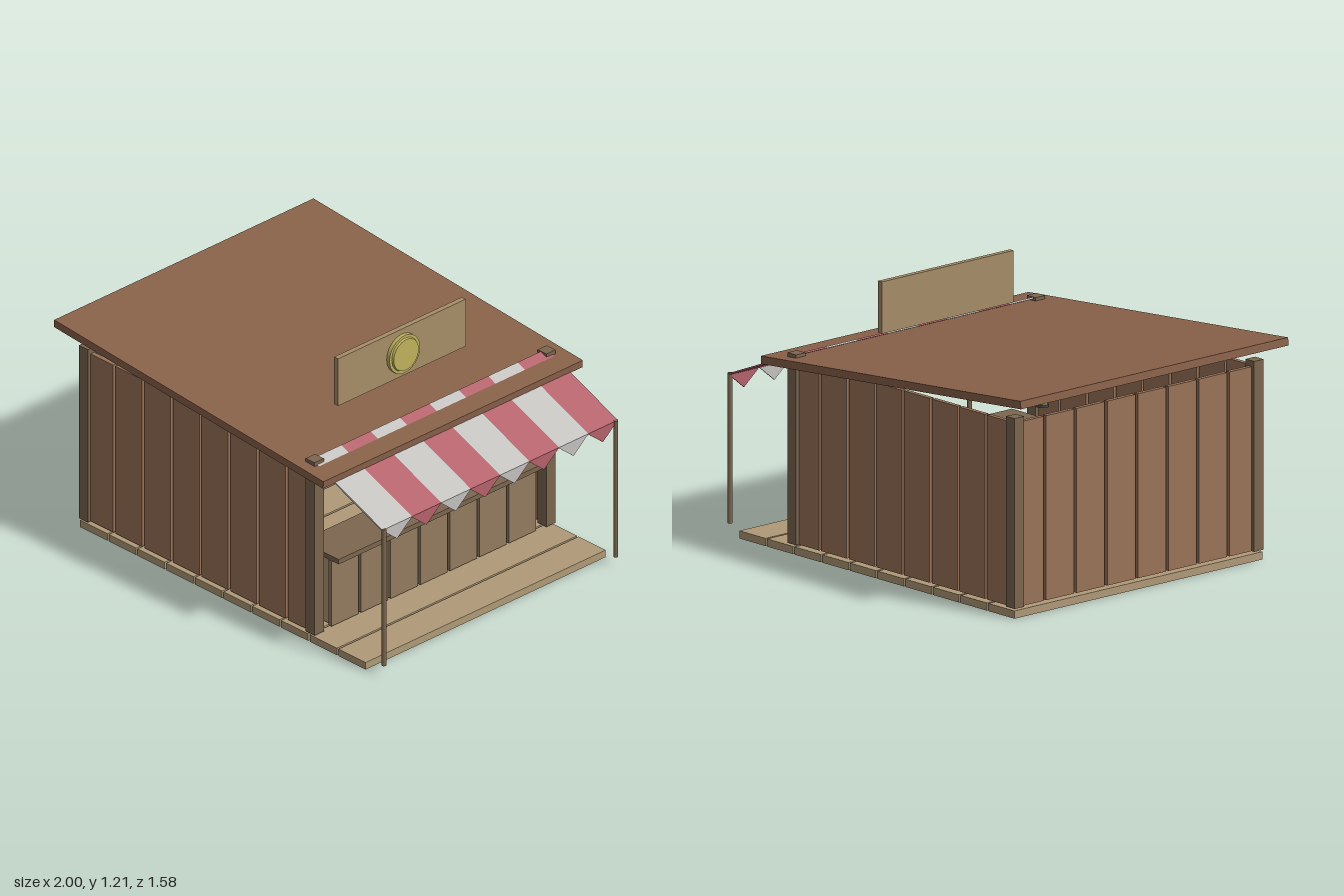
import * as THREE from 'three';

const WALL = 0x9a7358, ROOF = 0x8a624a, POST = 0x7c6650, FLOOR = 0xb09a78, COUNTER = 0x937c60;
const RED = 0xb5626a, CLOTH = 0xc4c2bf, GOLD = 0xc0b25e, IRON = 0x4a4c52, SACK = 0xa08d6c;
const PITCH = 0.18, GROUND = 0.045;

const mats = {};
const mat = (color) => (mats[color] ??= new THREE.MeshStandardMaterial({ color, side: THREE.DoubleSide }));

export function createModel() {
  const root = new THREE.Group();
  root.name = 'marketStall';

  const add = (name, geo, color, x = 0, y = 0, z = 0, parent = root) => {
    const m = new THREE.Mesh(geo, mat(color));
    m.name = name;
    m.position.set(x, y, z);
    parent.add(m);
    return m;
  };
  // Box given by its limits on each axis
  const box = (name, color, [x0, x1], [y0, y1], [z0, z1], parent = root) =>
    add(name, new THREE.BoxGeometry(x1 - x0, y1 - y0, z1 - z0), color,
      (x0 + x1) / 2, (y0 + y1) / 2, (z0 + z1) / 2, parent);
  const group = (name, x = 0, y = 0, z = 0) => {
    const g = new THREE.Group();
    g.name = name;
    g.position.set(x, y, z);
    root.add(g);
    return g;
  };
  const lathe = (points, segments = 24) =>
    new THREE.LatheGeometry(points.map(([r, y]) => new THREE.Vector2(r, y)), segments);
  // Calls fn(from, to) for a row of planks of even pitch with narrow gaps
  const row = (count, centre, fn, width = 0.165) => {
    for (let i = 0; i < count; i++) {
      const c = centre + (i - (count - 1) / 2) * PITCH;
      fn([c - width / 2, c + width / 2]);
    }
  };

  // Floor
  const floor = group('floor');
  row(10, 0, (x) => box('floorPlank', FLOOR, x, [0, 0.035], [-0.73, 0.73], floor), 0.17);

  // Walls: two sides and the back
  const walls = group('walls');
  for (const s of [-1, 1])
    row(8, -0.155, (x) => box('sidePlank', WALL, x, [GROUND, 0.88], [s * 0.705 - 0.011, s * 0.705 + 0.011], walls));
  row(8, 0, (z) => box('backPlank', WALL, [-0.883, -0.861], [GROUND, 0.88], z, walls));

  // Corner posts and thin awning poles
  for (const s of [-1, 1]) {
    for (const x of [-0.872, 0.55])
      box('cornerPost', POST, [x - 0.028, x + 0.028], [GROUND, 0.907], [s * 0.705 - 0.028, s * 0.705 + 0.028]);
    add('awningPole', new THREE.CylinderGeometry(0.011, 0.011, 0.68, 12), POST, 0.984, 0.388, s * 0.705);
  }

  // Sloping roof
  const roof = add('roof', new THREE.BoxGeometry(1.695, 0.036, 1.576), ROOF, -0.155, 0.929, 0);
  roof.rotation.z = -0.081;

  // Striped awning with a pointed valance
  const awning = group('awning');
  const top = [0.54, 0.902], edge = [0.985, 0.722], stripe = 1.43 / 8;
  const run = edge[0] - top[0], drop = top[1] - edge[1];
  const point = new THREE.Shape([[-stripe / 2, 0], [0, -0.073], [stripe / 2, 0]].map((p) => new THREE.Vector2(...p)));
  const pointGeo = new THREE.ExtrudeGeometry(point, { depth: 0.006, bevelEnabled: false });
  for (let i = 0; i < 8; i++) {
    const z = -0.715 + (i + 0.5) * stripe, color = i % 2 ? CLOTH : RED;
    const cloth = add('awningStripe', new THREE.BoxGeometry(Math.hypot(run, drop), 0.008, stripe), color,
      (top[0] + edge[0]) / 2, (top[1] + edge[1]) / 2, z, awning);
    cloth.rotation.z = -Math.atan2(drop, run);
    add('valancePoint', pointGeo, color, 0.979, edge[1], z, awning).rotation.y = Math.PI / 2;
  }

  // Sign board with a round disc
  box('signBoard', 0xa68d68, [0.345, 0.37], [0.975, 1.21], [-0.388, 0.388]);
  const disc = group('signDisc', 0.37, 1.092, 0);
  disc.rotation.z = -Math.PI / 2;
  add('discPlate', new THREE.CylinderGeometry(0.093, 0.093, 0.018, 32), GOLD, 0, 0.009, 0, disc);
  add('discFace', new THREE.CylinderGeometry(0.076, 0.08, 0.01, 32), GOLD, 0, 0.022, 0, disc);

  // Counter
  const counter = group('counter');
  box('counterTop', POST, [0.38, 0.615], [0.372, 0.396], [-0.622, 0.622], counter);
  box('counterBody', FLOOR, [0.4, 0.55], [GROUND, 0.372], [-0.61, 0.61], counter);
  row(7, 0, (z) => box('counterPlank', COUNTER, [0.55, 0.57], [GROUND, 0.372], z, counter));

  // Balance scale on the counter
  const scale = group('scale', 0.49, 0.396, -0.36);
  add('scaleStand', lathe([[0, 0], [0.034, 0], [0.034, 0.008], [0.02, 0.02], [0.011, 0.1], [0.007, 0.128], [0, 0.128]], 16), GOLD, 0, 0, 0, scale);
  box('scaleBeam', GOLD, [-0.004, 0.004], [0.119, 0.126], [-0.077, 0.077], scale);
  for (const s of [-1, 1]) {
    add('scaleHanger', new THREE.CylinderGeometry(0.002, 0.002, 0.052, 6), GOLD, 0, 0.096, s * 0.075, scale);
    add('scalePan', lathe([[0, 0.062], [0.018, 0.064], [0.03, 0.075], [0.027, 0.076], [0, 0.07]], 20), GOLD, 0, 0, s * 0.075, scale);
  }

  // Cup and book
  add('cup', lathe([[0, 0], [0.013, 0], [0.016, 0.025], [0.013, 0.025], [0.011, 0.005], [0, 0.005]], 16), GOLD, 0.455, 0.396, 0.24);
  box('book', 0x75485a, [0.42, 0.52], [0.396, 0.412], [0.022, 0.155]);

  // Barrel with hoops
  const barrel = group('barrel', -0.24, GROUND, -0.575);
  add('barrelBody', lathe([[0, 0], [0.08, 0], [0.093, 0.07], [0.098, 0.14], [0.093, 0.21], [0.08, 0.28], [0.072, 0.28], [0.07, 0.27], [0, 0.27]]), POST, 0, 0, 0, barrel);
  for (const [y, r] of [[0.03, 0.088], [0.09, 0.096], [0.19, 0.096], [0.25, 0.088]])
    add('barrelHoop', new THREE.CylinderGeometry(r, r, 0.016, 24, 1, true), IRON, 0, y, 0, barrel);

  // Sacks stacked behind the counter
  const sackGeo = lathe([[0, -0.005], [0.06, 0], [0.092, 0.05], [0.095, 0.12], [0.07, 0.2], [0.03, 0.235], [0.042, 0.27], [0, 0.265]], 18);
  for (const [x, z, h] of [[-0.66, 0.53, 1.17], [-0.505, 0.45, 1], [-0.36, 0.53, 1]])
    add('sack', sackGeo, SACK, x, GROUND, z).scale.y = h;

  // Hanging lantern
  const lantern = group('lantern', -0.27, 0.7, 0);
  add('lanternCord', new THREE.CylinderGeometry(0.004, 0.004, 0.11, 8), IRON, 0, 0.165, 0, lantern);
  add('lanternCap', new THREE.ConeGeometry(0.034, 0.03, 12), IRON, 0, 0.1, 0, lantern);
  add('lanternGlass', new THREE.CylinderGeometry(0.024, 0.024, 0.075, 12), GOLD, 0, 0.048, 0, lantern);
  add('lanternBase', new THREE.CylinderGeometry(0.03, 0.03, 0.012, 12), IRON, 0, 0.006, 0, lantern);

  return root;
}
